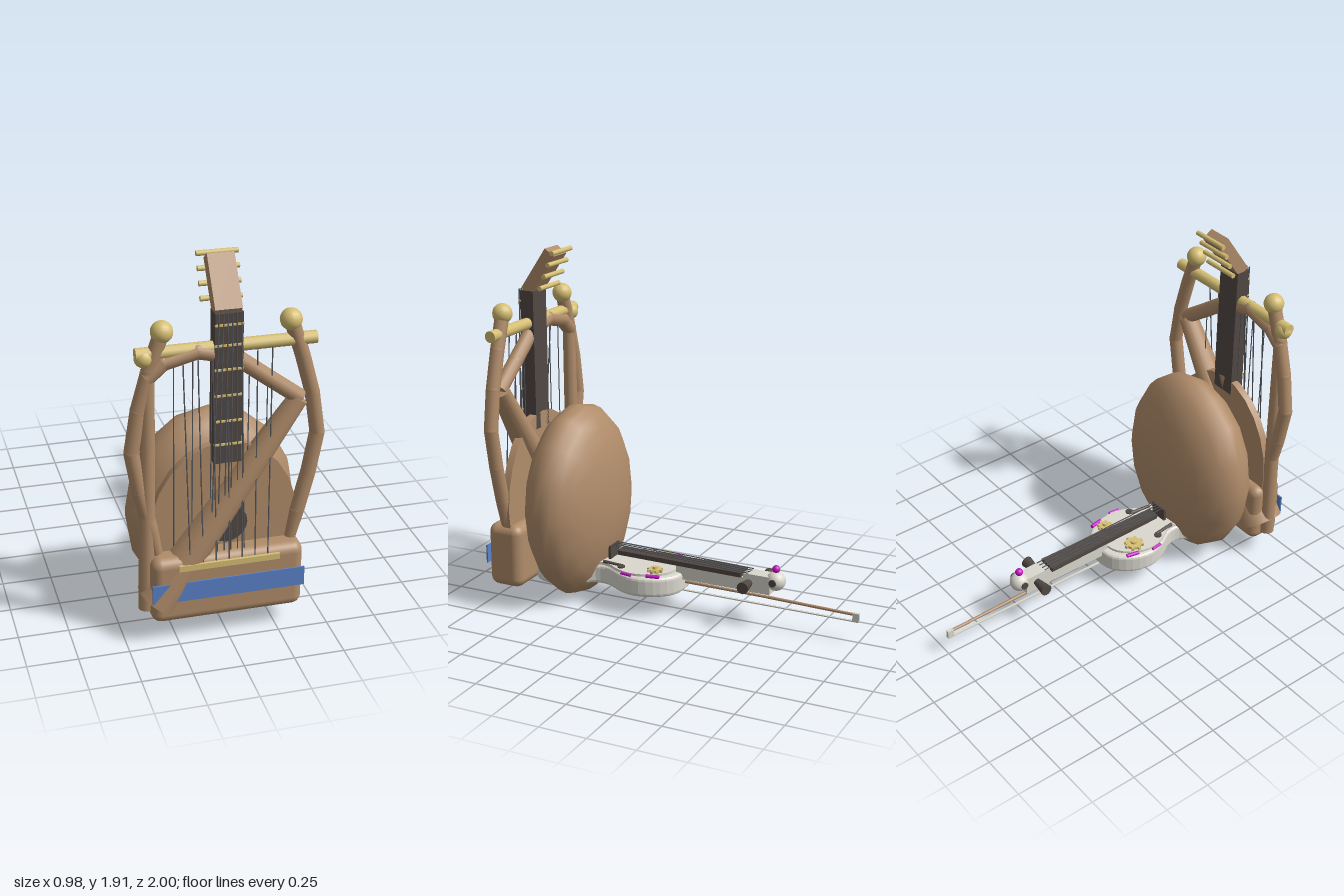
import * as THREE from 'three';
import { RoundedBoxGeometry } from 'three/addons/geometries/RoundedBoxGeometry.js';

const mat = (name, color) => {
  const m = new THREE.MeshStandardMaterial({ color });
  m.name = name;
  return m;
};

export function createModel() {
  const wood = mat('wood', 0xb08c6a);
  const gold = mat('brass', 0xd6bf74);
  const dark = mat('ebony', 0x514844);
  const steel = mat('string', 0x55585c);
  const blue = mat('blue band', 0x5a82c8);
  const white = mat('ivory', 0xdad8ce);
  const purple = mat('purple trim', 0xc814c8);
  const V = (p) => new THREE.Vector3(...p);

  const part = (parent, name, geo, m, pos = [0, 0, 0]) => {
    const mesh = new THREE.Mesh(geo, m);
    mesh.name = name;
    mesh.position.set(...pos);
    parent.add(mesh);
    return mesh;
  };
  const box = (parent, name, m, x0, x1, y0, y1, z0, z1) =>
    part(parent, name, new THREE.BoxGeometry(x1 - x0, y1 - y0, z1 - z0), m,
      [(x0 + x1) / 2, (y0 + y1) / 2, (z0 + z1) / 2]);
  const ball = (parent, name, m, r, pos) =>
    part(parent, name, new THREE.SphereGeometry(r, 16, 12), m, pos);
  // Round bar from a (radius ra) to b (radius rb)
  const rod = (parent, name, m, a, b, ra, rb = ra, sides = 12) => {
    const d = V(b).sub(V(a));
    const mesh = part(parent, name, new THREE.CylinderGeometry(rb, ra, d.length(), sides), m);
    mesh.position.copy(V(a).add(V(b)).multiplyScalar(0.5));
    mesh.quaternion.setFromUnitVectors(new THREE.Vector3(0, 1, 0), d.normalize());
    return mesh;
  };
  // Chain of straight round segments along a bent limb
  const limb = (parent, name, m, pts, r) => {
    for (let i = 0; i + 1 < pts.length; i++) rod(parent, name, m, pts[i], pts[i + 1], r);
    for (const p of pts.slice(1, -1)) ball(parent, name + 'Joint', m, r, p);
  };
  const root = new THREE.Group();
  const group = (name) => {
    const g = new THREE.Group();
    g.name = name;
    root.add(g);
    return g;
  };

  // ---- Lyre ----
  const lyre = group('lyre');
  part(lyre, 'lyreSoundbox', new RoundedBoxGeometry(0.755, 0.35, 0.2, 4, 0.05), wood, [0, 0.285, 0.88]);
  box(lyre, 'blueBand', blue, -0.38, 0.378, 0.235, 0.335, 0.979, 0.987);
  box(lyre, 'lyreBridge', gold, -0.25, 0.25, 0.4, 0.43, 0.97, 0.99);
  for (const s of [-1, 1]) {
    const pts = [[0.365, 0.6], [0.415, 0.8], [0.452, 1.01], [0.42, 1.22], [0.365, 1.42], [0.305, 1.6]]
      .map(([x, y]) => [s * x, y, 0.88]);
    limb(lyre, 'lyreArm', wood, pts, 0.037);
    rod(lyre, 'armFoot', wood, [s * 0.325, 0.42, 0.88], pts[0], 0.026, 0.037);
    ball(lyre, 'armKnob', gold, 0.053, [s * 0.305, 1.6, 0.88]);
  }
  rod(lyre, 'crossbar', gold, [-0.43, 1.5, 0.88], [0.43, 1.5, 0.88], 0.031);
  for (let i = -3; i <= 3; i++)
    rod(lyre, 'lyreString', steel, [i * 0.064, 0.41, 0.975], [i * 0.071, 1.49, 0.9], 0.0035, 0.0035, 5);
  rod(lyre, 'endPin', dark, [0, 0.075, 0.89], [0, 0.12, 0.89], 0.002, 0.012);

  // ---- Harp ----
  const harp = group('harp');
  const neck = [[-0.38, 1.38], [-0.3, 1.45], [-0.14, 1.49], [0.03, 1.45], [0.2, 1.32], [0.36, 1.2]]
    .map(([x, y]) => [x, y, 0.88]);
  limb(harp, 'harpNeck', wood, neck, 0.04);
  rod(harp, 'harpPillar', wood, [-0.385, 0.16, 0.88], [-0.372, 1.42, 0.88], 0.042, 0.034);
  ball(harp, 'harpKnob', gold, 0.045, [-0.39, 1.48, 0.88]);
  const chest = rod(harp, 'harpSoundbox', wood, [-0.34, 0.2, 0.88], [0.355, 1.2, 0.88], 0.103, 0.045, 16);
  chest.scale.z = 1.2;
  for (let i = 0; i < 6; i++) {
    const x = -0.25 + i * 0.09;
    const seg = neck.findIndex((p, k) => k + 1 < neck.length && x <= neck[k + 1][0]);
    const [a, b] = [neck[seg], neck[seg + 1]];
    const top = a[1] + (b[1] - a[1]) * (x - a[0]) / (b[0] - a[0]);
    rod(harp, 'harpString', steel, [x, 0.2 + (x + 0.34) * 1.44, 0.88], [x, top, 0.88], 0.003, 0.003, 5);
  }

  // ---- Lute ----
  const lute = group('lute');
  const bowl = new THREE.SphereGeometry(1, 16, 14);
  bowl.rotateX(Math.PI / 2);
  bowl.scale(0.43, 0.535, 0.23);
  part(lute, 'luteBowl', bowl, wood, [0, 0.537, 0.62]);
  const board = new THREE.CylinderGeometry(1, 1, 0.04, 24);
  board.rotateX(Math.PI / 2);
  board.scale(0.37, 0.47, 1);
  part(lute, 'luteSoundboard', board, wood, [0, 0.54, 0.86]);
  const rose = new THREE.CylinderGeometry(0.1, 0.1, 0.05, 20);
  rose.rotateX(Math.PI / 2);
  part(lute, 'soundHole', rose, dark, [0, 0.6, 0.905]);
  box(lute, 'luteNeck', dark, -0.067, 0.067, 0.92, 1.675, 0.84, 0.92);
  for (const y of [1.02, 1.14, 1.27, 1.4, 1.52, 1.62])
    box(lute, 'luteFret', gold, -0.068, 0.068, y - 0.005, y + 0.005, 0.915, 0.927);
  for (let i = 0; i < 6; i++) {
    const t = i - 2.5;
    rod(lute, 'luteString', steel, [t * 0.034, 0.4, 0.94], [t * 0.021, 1.68, 0.932], 0.0035, 0.0035, 5);
  }
  const head = box(lute, 'pegHead', wood, -0.065, 0.065, 1.648, 1.912, 0.775, 0.842);
  head.rotation.x = -0.6;
  for (let i = 0; i < 4; i++) {
    const y = 1.7 + i * 0.0635, z = 0.779 - i * 0.026;
    rod(lute, 'lutePeg', gold, [-0.1, y, z], [0.1, y, z], 0.013);
  }

  // ---- Fiddle, lying with its neck toward the back ----
  const fiddle = group('fiddle');
  const half = [[0.1, 0.0], [0.175, 0.08], [0.205, 0.19], [0.18, 0.29], [0.125, 0.39], [0.13, 0.47],
    [0.2, 0.55], [0.24, 0.66], [0.21, 0.77], [0.1, 0.83]];
  const outline = [[0, -0.02], ...half, [0, 0.845], ...half.map(([x, z]) => [-x, z]).reverse()];
  const plate = (k, depth, bevel) => {
    const curve = new THREE.CatmullRomCurve3(
      outline.map(([x, z]) => new THREE.Vector3(x * k, 0.41 + (z - 0.41) * k, 0)), true);
    const shape = new THREE.Shape(curve.getPoints(64).slice(0, -1).map((p) => new THREE.Vector2(p.x, p.y)));
    const g = new THREE.ExtrudeGeometry(shape, { depth, bevelEnabled: bevel > 0, bevelThickness: bevel,
      bevelSize: bevel, bevelOffset: -bevel, bevelSegments: 3 });
    return g.rotateX(Math.PI / 2);
  };
  part(fiddle, 'fiddleBody', plate(1, 0.07, 0.02), white, [0, 0.205, 0]);
  part(fiddle, 'fiddleTop', plate(0.9, 0.015, 0), white, [0, 0.238, 0]);
  box(fiddle, 'fiddleNeck', white, -0.035, 0.035, 0.19, 0.262, -0.38, 0.02);
  box(fiddle, 'pegBox', white, -0.04, 0.04, 0.19, 0.288, -0.52, -0.37);
  ball(fiddle, 'scroll', white, 0.052, [0, 0.26, -0.54]);
  ball(fiddle, 'scrollGem', purple, 0.021, [0, 0.325, -0.54]);
  rod(fiddle, 'scrollPin', dark, [-0.055, 0.262, -0.54], [0.055, 0.262, -0.54], 0.02);
  for (const [s, z] of [[-1, -0.455], [1, -0.405]])
    rod(fiddle, 'fiddlePeg', dark, [s * 0.03, 0.24, z], [s * 0.127, 0.24, z], 0.018, 0.032);
  // Fingerboard narrows toward the bridge
  const finger = new THREE.BoxGeometry(0.1, 0.025, 0.73);
  const fp = finger.attributes.position;
  for (let i = 0; i < fp.count; i++) if (fp.getZ(i) > 0) fp.setX(i, fp.getX(i) * 0.7);
  part(fiddle, 'fingerboard', finger, dark, [0, 0.277, 0.005]);
  box(fiddle, 'fiddleBridge', dark, -0.05, 0.05, 0.235, 0.312, 0.405, 0.42);
  for (let i = 0; i < 4; i++) {
    const t = i - 1.5;
    rod(fiddle, 'fiddleString', steel, [t * 0.02, 0.313, 0.41], [t * 0.024, 0.291, -0.4], 0.003, 0.003, 5);
  }
  // Sound holes and rim trim, mirrored
  for (const s of [-1, 1]) {
    rod(fiddle, 'fHoleCurl', dark, [s * 0.128, 0.236, 0.3], [s * 0.128, 0.245, 0.3], 0.021);
    rod(fiddle, 'fHoleStem', dark, [s * 0.115, 0.239, 0.3], [s * 0.1, 0.239, 0.42], 0.01);
    rod(fiddle, 'rimTrim', purple, [s * 0.158, 0.232, 0.06], [s * 0.172, 0.232, 0.13], 0.01);
    rod(fiddle, 'rimTrim', purple, [s * 0.195, 0.23, 0.21], [s * 0.187, 0.23, 0.27], 0.008);
    rod(fiddle, 'rimTrim', purple, [s * 0.15, 0.232, 0.475], [s * 0.17, 0.232, 0.51], 0.01);
  }
  // Brass gears on the top
  for (const [x, z, r] of [[-0.11, 0.145, 0.044], [0.105, 0.11, 0.033]]) {
    rod(fiddle, 'gear', gold, [x, 0.236, z], [x, 0.254, z], r, r, 16);
    rod(fiddle, 'gearHub', gold, [x, 0.25, z], [x, 0.266, z], r * 0.4);
    for (let k = 0; k < 8; k++) {
      const a = k * Math.PI / 4;
      const tooth = part(fiddle, 'gearTooth', new THREE.BoxGeometry(0.014, 0.016, 0.014), gold,
        [x + Math.cos(a) * r * 1.08, 0.245, z + Math.sin(a) * r * 1.08]);
      tooth.rotation.y = -a;
    }
  }

  // ---- Bow ----
  const bow = group('bow');
  const stick = [[0, 0.13, 0.8], [0, 0.16, 0.4], [0, 0.165, 0], [0, 0.161, -0.5], [0, 0.152, -0.97]];
  for (let i = 0; i < 4; i++) rod(bow, 'bowStick', wood, stick[i], stick[i + 1], 0.009, 0.008, 8);
  box(bow, 'bowHair', white, -0.006, 0.006, 0.112, 0.118, -0.98, 0.8);
  box(bow, 'bowTip', white, -0.009, 0.009, 0.113, 0.161, -1, -0.965);
  box(bow, 'bowFrog', wood, -0.015, 0.015, 0.086, 0.13, 0.75, 0.84);

  return root;
}
